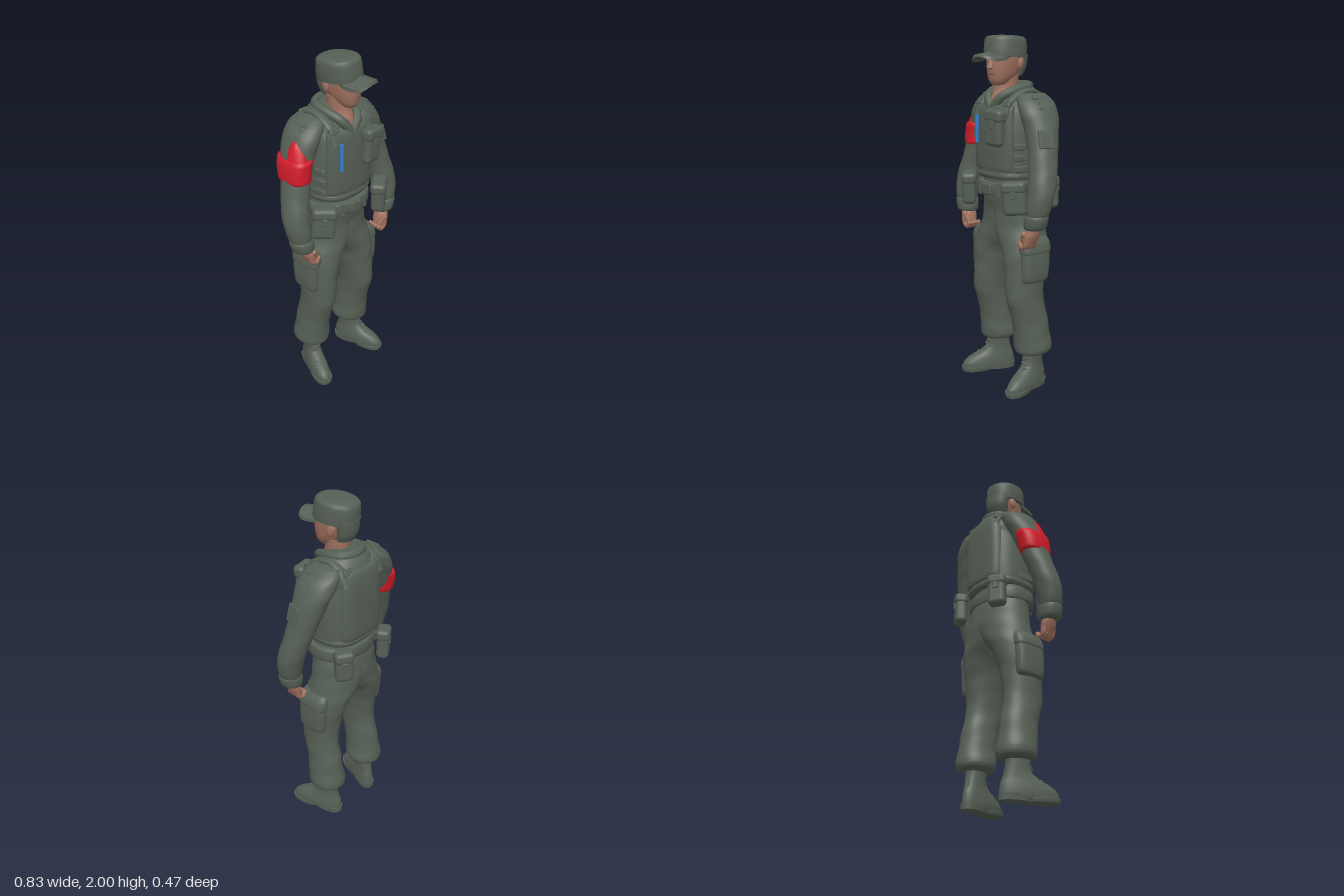
import * as THREE from 'three';
import { toCreasedNormals } from 'three/addons/utils/BufferGeometryUtils.js';
import { RoundedBoxGeometry } from 'three/addons/geometries/RoundedBoxGeometry.js';

const material = (name, color) => Object.assign(new THREE.MeshStandardMaterial({ color }), { name });
const cloth = material('grey green cloth', 0x566056);
const skin = material('skin', 0xa0715f);
const lips = material('dark skin', 0x7a5145);
const red = material('armband red', 0xd01c2a);
const blue = material('light stick blue', 0x2f7fd0);

function add(parent, name, geometry, mat, pos = [0, 0, 0], rot = [0, 0, 0]) {
  const mesh = new THREE.Mesh(geometry, mat);
  mesh.name = name;
  mesh.position.set(...pos);
  mesh.rotation.set(...rot);
  parent.add(mesh);
  return mesh;
}

// Smooth value between cross-sections
function spline(a, b, c, d, t) {
  return 0.5 * (2 * b + (c - a) * t + (2 * a - 5 * b + 4 * c - d) * t * t + (3 * b - a - 3 * c + d) * t * t * t);
}

// Body of stacked horizontal sections, bottom to top: [y, centre x, centre z, half width, half depth].
// side mirrors it, folds adds cloth waves, half trims it at the middle plane.
function loft(rings, { side = 1, p = 2, folds = 0, steps = 5, n = 36, half = false } = {}) {
  const pos = [], index = [], rows = [];
  const at = i => rings[Math.min(Math.max(i, 0), rings.length - 1)];
  for (let i = 0; i < rings.length - 1; i++)
    for (let k = 0; k < steps; k++)
      rows.push(at(i).map((v, m) => spline(at(i - 1)[m], v, at(i + 1)[m], at(i + 2)[m], k / steps)));
  rows.push(at(rings.length - 1));
  for (const [y, cx, cz, rx, rz] of rows)
    for (let j = 0; j < n; j++) {
      const t = j / n * Math.PI * 2, c = side * Math.cos(t), s = Math.sin(t), a = Math.atan2(s, c);
      const f = 1 + folds * (Math.sin(2 * a + y * 55) + 0.6 * Math.sin(3 * a - y * 37));
      const x = cx + Math.sign(c) * Math.abs(c) ** (2 / p) * rx * f;
      pos.push(side * (half ? Math.max(x, 0) : x), y, cz + Math.sign(s) * Math.abs(s) ** (2 / p) * rz * f);
    }
  const last = rows.length - 1, low = pos.length / 3;
  for (const [y, cx, cz] of [rows[0], rows[last]]) pos.push(side * cx, y, cz);
  for (let j = 0; j < n; j++) {
    const k = (j + 1) % n;
    for (let i = 0; i < last; i++) {
      const a = i * n + j, b = i * n + k;
      index.push(a, a + n, b, b, a + n, b + n);
    }
    index.push(low, j, k, low + 1, last * n + k, last * n + j);
  }
  const g = new THREE.BufferGeometry();
  g.setAttribute('position', new THREE.Float32BufferAttribute(pos, 3));
  g.setIndex(index);
  return toCreasedNormals(g, 0.9);
}

const box = (w, h, d, r = 0.012) => new RoundedBoxGeometry(w, h, d, 3, Math.min(r, w / 2.1, h / 2.1, d / 2.1));
const tube = (points, r) => new THREE.TubeGeometry(
  new THREE.CatmullRomCurve3(points.map(q => new THREE.Vector3(...q))), 36, r, 10);

// Pouch with a lid flap and closing tab; its face is local +z
function pouch(parent, name, [w, h, d], pos, rot) {
  const g = new THREE.Group();
  g.name = name;
  g.position.set(...pos);
  g.rotation.set(...rot);
  add(g, 'pouchBody', box(w, h, d, 0.026), cloth);
  add(g, 'pouchFlap', box(w + 0.008, h * 0.36, d + 0.01, 0.024), cloth, [0, h * 0.32, 0]);
  add(g, 'pouchTab', box(0.03, h * 0.22, 0.01, 0.005), cloth, [0, h * 0.1, d / 2 + 0.002]);
  parent.add(g);
}

function buildHead(root) {
  const head = new THREE.Group();
  head.name = 'head';
  head.rotation.y = 0.15;
  root.add(head);
  add(head, 'face', loft([[1.735, 0, 0.085, 0.03, 0.035], [1.755, 0, 0.075, 0.05, 0.06], [1.79, 0, 0.055, 0.068, 0.088],
    [1.84, 0, 0.035, 0.08, 0.112], [1.89, 0, 0.026, 0.086, 0.116], [1.94, 0, 0.025, 0.086, 0.112]], { p: 2.2 }), skin);
  add(head, 'nose', loft([[1.818, 0, 0.142, 0.008, 0.012], [1.828, 0, 0.146, 0.018, 0.022],
    [1.85, 0, 0.138, 0.013, 0.019], [1.885, 0, 0.133, 0.009, 0.012]], { n: 16 }), skin);
  add(head, 'mouth', box(0.042, 0.007, 0.008, 0.003), lips, [0, 1.797, 0.142]);
  add(head, 'croppedHair', loft([[1.785, 0, -0.03, 0.056, 0.042], [1.83, 0, -0.042, 0.072, 0.052],
    [1.9, 0, -0.043, 0.084, 0.057]]), cloth);
  for (const s of [-1, 1]) {
    add(head, 'ear', new THREE.SphereGeometry(1, 16, 12), skin, [s * 0.086, 1.852, 0.0], [-0.2, s * 0.3, 0])
      .scale.set(0.013, 0.036, 0.022);
    add(head, 'eye', new THREE.SphereGeometry(1, 12, 8), lips, [s * 0.034, 1.865, 0.133]).scale.set(0.013, 0.005, 0.006);
    add(head, 'brow', box(0.034, 0.006, 0.01, 0.003), lips, [s * 0.036, 1.881, 0.134], [0, s * 0.3, 0]);
  }
  // Field cap, slightly tilted, with drooping bill
  const cap = new THREE.Group();
  cap.name = 'fieldCap';
  cap.position.set(-0.006, 1.94, 0);
  cap.rotation.set(-0.05, 0, 0.04);
  head.add(cap);
  add(cap, 'capCrown', loft([[-0.062, 0, 0.028, 0.103, 0.122], [-0.03, 0, 0.026, 0.105, 0.124], [0.025, 0, 0.024, 0.104, 0.12],
    [0.043, 0, 0.026, 0.098, 0.112], [0.052, 0, 0.03, 0.082, 0.093], [0.056, 0, 0.03, 0.04, 0.05]], { p: 2.15, steps: 3 }), cloth);
  const bill = loft([[-0.05, 0, 0.135, 0.09, 0.1], [-0.035, 0, 0.13, 0.088, 0.098]], { p: 2.6, steps: 1 });
  const v = bill.attributes.position;
  for (let i = 0; i < v.count; i++) v.setY(i, v.getY(i) - 4.5 * v.getX(i) ** 2 - 0.16 * (v.getZ(i) - 0.14));
  bill.computeVertexNormals();
  add(cap, 'capBill', bill, cloth);
}

function buildTorso(root) {
  add(root, 'neck', loft([[1.6, 0, 0.06, 0.04, 0.06], [1.66, 0, 0.045, 0.055, 0.07], [1.72, 0, 0.025, 0.06, 0.068],
    [1.79, 0, 0.02, 0.064, 0.07]]), skin);
  add(root, 'jacket', loft([[1.12, 0, -0.01, 0.185, 0.14], [1.24, 0, -0.01, 0.175, 0.135], [1.45, 0, -0.02, 0.18, 0.14],
    [1.57, 0, -0.03, 0.19, 0.145], [1.63, 0, -0.037, 0.19, 0.137], [1.68, 0, -0.04, 0.155, 0.117],
    [1.72, 0, -0.042, 0.115, 0.09], [1.74, 0, -0.045, 0.07, 0.055]], { folds: 0.006 }), cloth);
  const half = [[0.058, 1.675, 0.1], [0.09, 1.712, 0.02], [0.08, 1.728, -0.07]];
  add(root, 'collar', tube([[0, 1.6, 0.122], ...half, [0, 1.732, -0.11],
    ...half.map(([x, y, z]) => [-x, y, z]).reverse(), [0, 1.6, 0.122]], 0.025), cloth);
  // Armoured vest
  add(root, 'vest', loft([[1.23, 0, -0.01, 0.172, 0.148], [1.25, 0, -0.01, 0.185, 0.16], [1.35, 0, -0.012, 0.189, 0.166],
    [1.48, 0, -0.012, 0.187, 0.166], [1.57, 0, -0.015, 0.174, 0.162], [1.61, 0, -0.018, 0.162, 0.152],
    [1.63, 0, -0.02, 0.142, 0.135]], { p: 2.6 }), cloth);
  add(root, 'vestFrontPanel', loft([[1.28, 0, 0.1, 0.15, 0.044], [1.29, 0, 0.1, 0.16, 0.053], [1.45, 0, 0.1, 0.165, 0.053],
    [1.58, 0, 0.095, 0.155, 0.052], [1.62, 0, 0.09, 0.148, 0.048], [1.63, 0, 0.09, 0.14, 0.04]], { p: 2.3 }), cloth);
  add(root, 'vestBackPanel', loft([[1.265, 0, -0.1, 0.125, 0.07], [1.285, 0, -0.1, 0.142, 0.083], [1.45, 0, -0.1, 0.148, 0.086],
    [1.58, 0, -0.1, 0.142, 0.085], [1.655, 0, -0.1, 0.125, 0.075], [1.675, 0, -0.1, 0.105, 0.055]], { p: 3.6 }), cloth);
  add(root, 'vestHem', loft([[1.228, 0, -0.01, 0.178, 0.155], [1.25, 0, -0.01, 0.189, 0.166], [1.265, 0, -0.01, 0.184, 0.16]],
    { p: 2.7, steps: 2 }), cloth);
  for (const s of [-1, 1]) {
    const strap = tube([[0, 1.57, 0.13], [0, 1.64, 0.1], [0, 1.69, 0.03], [0, 1.705, -0.05], [0, 1.675, -0.12], [0, 1.6, -0.165]], 0.014);
    strap.scale(2.2, 1, 1);
    add(root, 'shoulderStrap', strap, cloth, [s * 0.12, 0, 0]);
    add(root, 'strapBuckle', box(0.065, 0.04, 0.02, 0.008), cloth, [s * 0.12, 1.64, 0.108], [-0.5, 0, 0]);
    add(root, 'rearStrapBuckle', box(0.06, 0.035, 0.02, 0.008), cloth, [s * 0.1, 1.67, -0.145], [0.5, 0, 0]);
    for (const y of [1.29, 1.35, 1.41])
      add(root, 'sideStrap', box(0.02, 0.035, 0.13, 0.008), cloth, [s * 0.179, y, 0.035]);
  }
  pouch(root, 'chestPouch', [0.118, 0.2, 0.06], [0.097, 1.515, 0.17], [0, 0.12, -0.06]);
  add(root, 'lightStick', new THREE.CylinderGeometry(0.011, 0.011, 0.15, 12), blue, [-0.102, 1.495, 0.149]);
}

function buildBelt(root) {
  add(root, 'belt', loft([[1.13, 0, -0.005, 0.195, 0.152], [1.14, 0, -0.005, 0.2, 0.157], [1.195, 0, -0.005, 0.2, 0.157],
    [1.205, 0, -0.005, 0.194, 0.15]], { p: 2.3, steps: 2 }), cloth);
  add(root, 'beltBuckle', box(0.075, 0.06, 0.02, 0.008), cloth, [0, 1.167, 0.155]);
  for (const s of [-1, 1]) {
    pouch(root, 'frontBeltPouch', [0.13, 0.185, 0.08], [s * 0.217, 1.145, 0.128], [0, s * 0.65, s * 0.08]);
    pouch(root, 'backBeltPouch', [0.1, 0.185, 0.07], [s * 0.162, 1.145, -0.177], [0, Math.PI - s * 0.55, 0]);
    add(root, 'beltKeeper', box(0.025, 0.085, 0.018, 0.006), cloth, [s * 0.085, 1.167, 0.14], [0, s * 0.2, 0]);
  }
}

function buildArm(root, s) {
  const arm = new THREE.Group();
  arm.name = s > 0 ? 'leftArm' : 'rightArm';
  root.add(arm);
  add(arm, 'sleeve', loft([[1.03, 0.325, 0.068, 0.05, 0.055], [1.09, 0.334, 0.062, 0.068, 0.067], [1.19, 0.337, 0.042, 0.075, 0.075],
    [1.3, 0.314, 0.015, 0.075, 0.08], [1.42, 0.28, -0.01, 0.077, 0.088], [1.52, 0.25, -0.024, 0.083, 0.102],
    [1.6, 0.215, -0.032, 0.084, 0.115], [1.655, 0.18, -0.037, 0.077, 0.108], [1.693, 0.145, -0.04, 0.054, 0.078]],
  { side: s, folds: 0.012 }), cloth);
  add(arm, 'cuff', loft([[0.985, 0.315, 0.07, 0.05, 0.052], [1.0, 0.32, 0.07, 0.062, 0.063], [1.05, 0.328, 0.068, 0.067, 0.066],
    [1.065, 0.33, 0.067, 0.058, 0.058]], { side: s, steps: 3 }), cloth);
  // Relaxed hand with curled fingers
  const hand = new THREE.Group();
  hand.name = 'hand';
  hand.position.set(s * 0.01, s > 0 ? 0 : 0.02, 0);
  arm.add(hand);
  add(hand, 'palm', loft([[0.895, 0.272, 0.08, 0.028, 0.042], [0.94, 0.288, 0.077, 0.034, 0.048], [0.98, 0.302, 0.072, 0.032, 0.038],
    [1.02, 0.315, 0.07, 0.03, 0.03]], { side: s, n: 20 }), skin);
  for (let i = 0; i < 4; i++) {
    const z = 0.046 + i * 0.022;
    add(hand, 'finger', tube([[s * 0.29, 0.93, z], [s * 0.28, 0.892, z], [s * 0.252, 0.88, z], [s * 0.235, 0.9, z]], 0.0135), skin);
    add(hand, 'fingertip', new THREE.SphereGeometry(0.0135, 10, 8), skin, [s * 0.235, 0.9, z]);
  }
  add(hand, 'thumb', new THREE.CapsuleGeometry(0.015, 0.05, 4, 10), skin, [s * 0.262, 0.935, 0.112], [0.3, 0, -s * 0.5]);
  for (let i = 0; i < 3; i++)
    add(arm, 'shoulderTab', box(0.026, 0.014, 0.085, 0.005), cloth,
      [s * (0.228 + i * 0.024), 1.674 - i * 0.026, -0.025], [0, 0, -s * 0.85]);
  if (s > 0) {
    add(arm, 'sleevePocket', box(0.016, 0.1, 0.085, 0.006), cloth, [0.34, 1.465, 0.015], [0, -0.25, 0.24]);
  } else {
    add(arm, 'armband', loft([[1.385, 0.295, -0.006, 0.062, 0.088], [1.395, 0.294, -0.008, 0.068, 0.096], [1.45, 0.29, -0.014, 0.069, 0.101],
      [1.5, 0.278, -0.018, 0.069, 0.106], [1.51, 0.274, -0.019, 0.065, 0.1]], { side: s, steps: 3, p: 2.5 }), red);
    add(arm, 'armbandTab', loft([[1.49, 0.294, 0, 0.05, 0.08], [1.54, 0.277, 0, 0.051, 0.065], [1.58, 0.262, 0, 0.05, 0.046],
      [1.605, 0.25, 0, 0.045, 0.018]], { side: s }), red);
  }
}

function buildLeg(root, s) {
  const leg = new THREE.Group();
  leg.name = s > 0 ? 'leftLeg' : 'rightLeg';
  root.add(leg);
  // Trouser half, widening into the hips and meeting its mirror at the middle
  add(leg, 'trouserLeg', loft([[0.21, 0.165, -0.045, 0.07, 0.08], [0.225, 0.164, -0.045, 0.097, 0.107], [0.26, 0.164, -0.045, 0.104, 0.115],
    [0.33, 0.165, -0.035, 0.094, 0.11], [0.43, 0.162, -0.02, 0.087, 0.112], [0.55, 0.158, 0.01, 0.086, 0.117],
    [0.7, 0.147, 0.004, 0.1, 0.124], [0.81, 0.132, -0.008, 0.116, 0.137], [0.88, 0.098, -0.018, 0.142, 0.14],
    [0.95, 0.045, -0.026, 0.178, 0.141], [1.03, 0.005, -0.028, 0.205, 0.142], [1.1, 0, -0.02, 0.2, 0.143],
    [1.17, 0, -0.01, 0.187, 0.14]], { side: s, folds: 0.009, half: true, n: 48 }), cloth);
  // Bulging thigh pocket with flap
  add(leg, 'cargoPocket', loft([[0.655, 0.222, 0, 0.025, 0.065], [0.675, 0.228, -0.002, 0.038, 0.085], [0.78, 0.229, -0.005, 0.041, 0.092],
    [0.87, 0.222, -0.008, 0.04, 0.09], [0.905, 0.212, -0.01, 0.025, 0.07]], { side: s, p: 3 }), cloth);
  add(leg, 'cargoFlap', loft([[0.825, 0.227, -0.007, 0.04, 0.092], [0.835, 0.226, -0.007, 0.046, 0.097], [0.88, 0.218, -0.009, 0.044, 0.095],
    [0.912, 0.208, -0.01, 0.028, 0.08]], { side: s, p: 3 }), cloth);
  // Laced boot, toes turned out
  const boot = new THREE.Group();
  boot.name = 'boot';
  boot.position.set(s * 0.168, 0, -0.04);
  boot.rotation.y = s * (s > 0 ? 0.27 : 0.35);
  leg.add(boot);
  add(boot, 'bootUpper', loft([[0.02, 0, 0.06, 0.054, 0.16], [0.05, 0, 0.06, 0.056, 0.16], [0.085, 0, 0.043, 0.052, 0.138],
    [0.115, 0, 0.018, 0.047, 0.102], [0.15, 0, 0, 0.045, 0.074], [0.2, 0, 0, 0.047, 0.066], [0.27, 0, 0, 0.05, 0.066]],
  { p: 2.3 }), cloth);
  add(boot, 'toeSole', loft([[0, 0, 0.132, 0.052, 0.093], [0.012, 0, 0.132, 0.057, 0.098], [0.028, 0, 0.132, 0.057, 0.097]],
    { p: 2.3, steps: 1 }), cloth);
  add(boot, 'heelSole', loft([[0, 0, -0.015, 0.048, 0.088], [0.034, 0, -0.015, 0.052, 0.09]], { p: 2.4, steps: 1 }), cloth);
  add(boot, 'soleWaist', box(0.09, 0.025, 0.15, 0.006), cloth, [0, 0.022, 0.05]);
  for (let i = 0; i < 5; i++)
    add(boot, 'lace', box(0.052, 0.009, 0.014, 0.004), cloth,
      [0, 0.105 + i * 0.026, [0.124, 0.09, 0.072, 0.064, 0.061][i] - 0.002], [0, 0, i % 2 ? 0.25 : -0.25]);
}

export function createModel() {
  const root = new THREE.Group();
  root.name = 'soldier';
  buildHead(root);
  buildTorso(root);
  buildBelt(root);
  for (const s of [-1, 1]) {
    buildArm(root, s);
    buildLeg(root, s);
  }
  return root;
}
